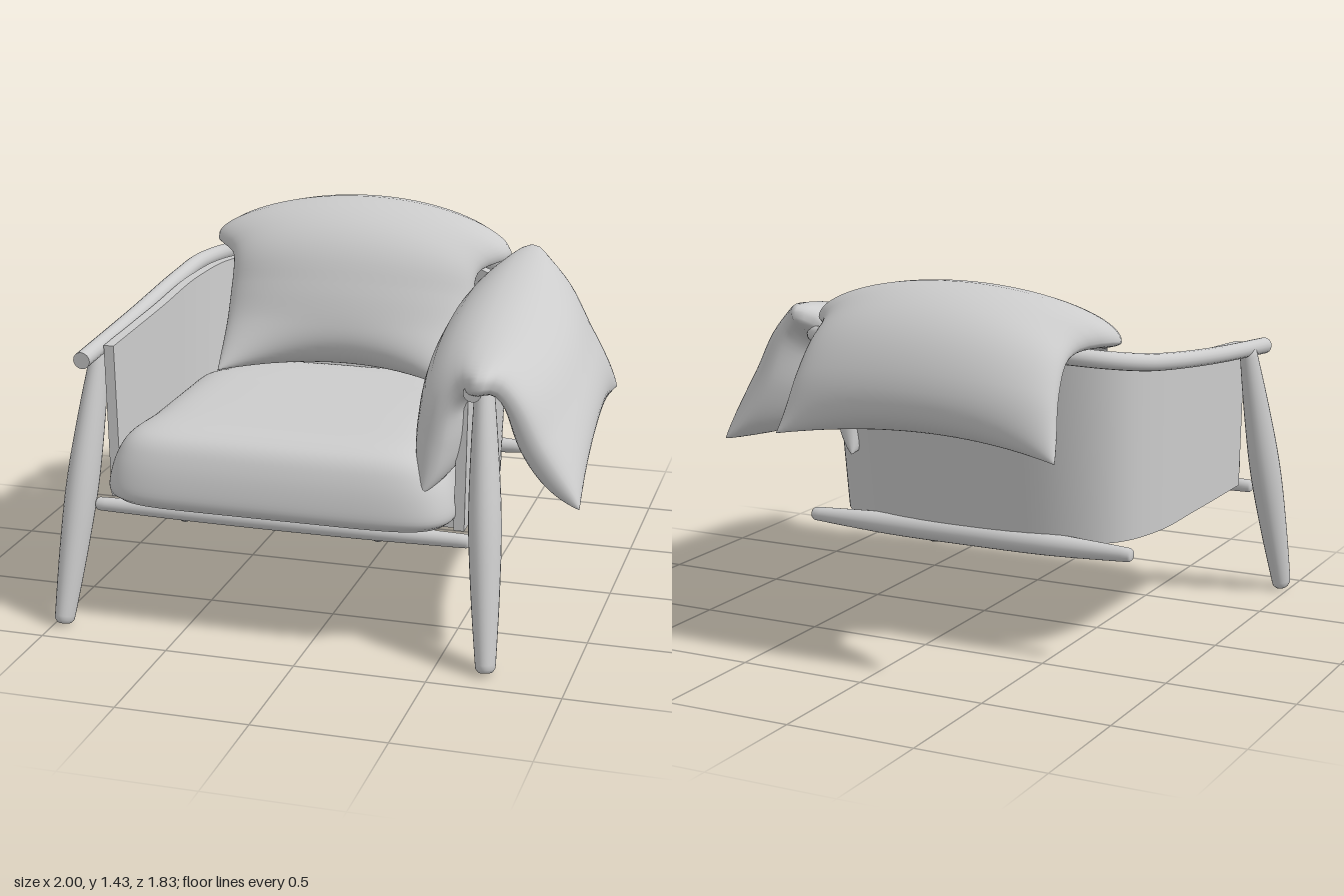
import * as THREE from 'three';
import { mergeVertices, toCreasedNormals } from 'three/addons/utils/BufferGeometryUtils.js';

const V = (x, y, z) => new THREE.Vector3(x, y, z);
const CX = -0.135; // middle of the chair frame

// Grid surface: du x dv points outward
function grid(fn, nu, nv) {
  const pos = [], idx = [];
  for (let i = 0; i <= nu; i++) {
    for (let j = 0; j <= nv; j++) pos.push(...fn(i / nu, j / nv).toArray());
  }
  for (let i = 0; i < nu; i++) {
    for (let j = 0; j < nv; j++) {
      const a = i * (nv + 1) + j, b = a + nv + 1;
      idx.push(a, b, b + 1, a, b + 1, a + 1);
    }
  }
  let g = new THREE.BufferGeometry();
  g.setAttribute('position', new THREE.Float32BufferAttribute(pos, 3));
  g.setIndex(idx);
  g = mergeVertices(g, 1e-5);
  g.computeVertexNormals();
  return g;
}

// Turned rod from a to b; profile is a list of [fraction, radius]
function rod(a, b, profile, squash = 1) {
  const len = a.distanceTo(b);
  const curve = new THREE.SplineCurve(profile.map(([t, r]) => new THREE.Vector2(r, t * len)));
  const r0 = profile[0][1], r1 = profile[profile.length - 1][1];
  const body = curve.getPoints(24).slice(1, -1);
  const pts = [new THREE.Vector2(0, 0), new THREE.Vector2(r0 * 0.75, 0), new THREE.Vector2(r0, r0 * 0.35),
    ...body.filter((p) => p.y > r0 * 0.4 && p.y < len - r1 * 0.4),
    new THREE.Vector2(r1, len - r1 * 0.35), new THREE.Vector2(r1 * 0.75, len), new THREE.Vector2(0, len)];
  const g = new THREE.LatheGeometry(pts, 24);
  g.scale(1, 1, squash);
  g.applyQuaternion(new THREE.Quaternion().setFromUnitVectors(V(0, 1, 0), b.clone().sub(a).normalize()));
  g.translate(a.x, a.y, a.z);
  return g;
}

const bump = (u, c, w) => Math.exp(-(((u - c) / w) ** 2));

// Soft pillow draped along a path; its width runs along axis
function pillow({ path, axis, thick, full, width, flare, adjust }) {
  const curve = new THREE.CatmullRomCurve3(path);
  return grid((s, f) => {
    const u = Math.sin((s - 0.5) * Math.PI), phi = f * 2 * Math.PI;
    const v = Math.cos(phi), k = (u + 1) / 2;
    const t = curve.getPointAt(k), tan = curve.getTangentAt(k);
    const n = axis.clone().cross(tan);
    const sn = Math.sin(phi);
    let h = thick * Math.sqrt(Math.max(0, 1 - u ** 8)) * Math.sign(sn) * Math.abs(sn) ** full;
    if (h < 0) h *= 1 - 0.5 * bump(u, 0, 0.4); // squeezed inside the fold
    t.addScaledVector(axis, v * width(u));
    t.addScaledVector(tan, flare * u ** 5 * v * v);
    t.addScaledVector(n, Math.abs(h) < 1e-6 ? 0 : h);
    return adjust(t, u, v);
  }, 56, 72);
}

export function createModel() {
  const group = new THREE.Group();
  const grey = new THREE.MeshStandardMaterial({ color: 0xcccccc });
  grey.name = 'light grey';
  const add = (name, geometry) => {
    const m = new THREE.Mesh(geometry, grey);
    m.name = name;
    group.add(m);
    return m;
  };

  // Front legs, thick in the middle and leaning back
  for (const s of [-1, 1]) {
    add(s < 0 ? 'rightFrontLeg' : 'leftFrontLeg', rod(
      V(CX + s * 0.828, 0.01, 0.875), V(CX + s * 0.745, 1.06, 0.605),
      [[0, 0.036], [0.25, 0.052], [0.5, 0.06], [0.75, 0.05], [1, 0.032]], 1.28));
  }

  // Bars under the seat
  const taper = (e, m) => [[0, e], [0.25, m * 0.95], [0.5, m], [0.75, m * 0.95], [1, e]];
  add('frontBar', rod(V(CX - 0.73, 0.457, 0.74), V(CX + 0.73, 0.457, 0.74), taper(0.026, 0.034)));
  add('backBar', rod(V(CX - 0.685, 0.44, -0.41), V(CX + 0.685, 0.44, -0.41), taper(0.026, 0.045)));
  for (const s of [-1, 1]) {
    add('sideBar', rod(V(CX + s * 0.38, 0.44, 0.74), V(CX + s * 0.38, 0.44, -0.41), taper(0.026, 0.04)));
  }

  // Mirrors half of a U-shaped path about the chair middle
  const uPath = (half) => new THREE.CatmullRomCurve3([
    ...half.map(([x, y, z]) => V(CX - x, y, z)),
    ...half.slice(0, -1).reverse().map(([x, y, z]) => V(CX + x, y, z))]);

  // Round rail forming arms and back
  const railPath = uPath([[0.745, 1.04, 0.8], [0.735, 1.08, 0.3], [0.718, 1.13, -0.17],
    [0.69, 1.155, -0.36], [0.6, 1.175, -0.48], [0.36, 1.195, -0.56], [0, 1.2, -0.59]]);
  add('armAndBackRail', new THREE.TubeGeometry(railPath, 120, 0.033, 16));
  for (const t of [0, 1]) {
    const cap = add('railEnd', new THREE.CircleGeometry(0.033, 16));
    cap.position.copy(railPath.getPoint(t));
    cap.lookAt(cap.position.clone().addScaledVector(railPath.getTangent(t), t ? 1 : -1));
  }

  // Upholstered shell wrapping sides and back
  const top = uPath([[0.705, 1.07, 0.68], [0.695, 1.1, 0.2], [0.67, 1.14, -0.15],
    [0.6, 1.165, -0.38], [0.42, 1.18, -0.52], [0, 1.19, -0.58]]);
  const bottom = uPath([[0.695, 0.47, 0.68], [0.685, 0.465, 0.2], [0.66, 0.455, -0.1],
    [0.58, 0.45, -0.3], [0.4, 0.445, -0.4], [0, 0.445, -0.43]]);
  const N = 64;
  add('shell', toCreasedNormals(grid((s, f) => {
    const i = Math.round(s * (N + 2)), t = THREE.MathUtils.clamp((i - 1) / N, 0, 1);
    const end = i === 0 || i === N + 2;
    const a = top.getPoint(t), b = bottom.getPoint(t);
    const n = V(0, 1, 0).cross(top.getTangent(t).setY(0).normalize());
    if (end) return a.lerp(b, 0.5).addScaledVector(n, -0.02);
    const j = Math.round(f * 4) % 4;
    return (j === 0 || j === 3 ? a : b).addScaledVector(n, j > 1 ? -0.04 : 0);
  }, N + 2, 4), 0.6));

  // Board closing the underside
  const outline = bottom.getPoints(48).map((p) => new THREE.Vector2(CX + (p.x - CX) * 0.98, -p.z * 0.98));
  const board = new THREE.ExtrudeGeometry(new THREE.Shape(outline), { depth: 0.03, bevelEnabled: false });
  board.rotateX(-Math.PI / 2);
  board.translate(0, 0.475, 0);
  add('seatBoard', board);

  // Seat cushion: rounded outlines as [height, inset]
  const levels = new THREE.SplineCurve([[0.49, 0.69], [0.49, 0.35], [0.49, 0.07], [0.505, 0.02], [0.535, 0],
    [0.6, 0.008], [0.67, 0.03], [0.73, 0.065], [0.765, 0.12], [0.785, 0.22], [0.79, 0.42], [0.792, 0.69],
  ].map(([y, d]) => new THREE.Vector2(d, y)));
  add('seatCushion', grid((s, f) => {
    const p = levels.getPoint(s), k = Math.max(0, 1 - p.x / 0.69);
    const phi = f * 2 * Math.PI, c = Math.cos(phi), sn = Math.sin(phi);
    const e = sn > 0 ? 0.28 : 0.28 + 0.34 * Math.min(1, -sn * 2);
    const pow = (w) => (Math.abs(w) < 1e-9 ? 0 : Math.sign(w) * Math.abs(w) ** e);
    const z = 0.225 + 0.63 * k * pow(sn);
    const x = 0.69 * k * pow(c) * (0.94 + 0.06 * THREE.MathUtils.smoothstep(z, 0.45, 0.75));
    return V(CX - 0.012 + x, p.y, z);
  }, 44, 96));

  // Pillow hung over the back
  add('backPillow', pillow({
    path: [[0.82, -0.16], [0.94, -0.23], [1.08, -0.29], [1.22, -0.37], [1.285, -0.53], [1.22, -0.68],
      [1.08, -0.765], [0.91, -0.79]].map(([y, z]) => V(-0.155, y, z)),
    axis: V(1, 0, 0), thick: 0.145, full: 1, flare: 0.04,
    width: (u) => 0.53 + 0.04 * u ** 3 - 0.02 * (1 - u * u) + 0.12 * bump(u, 0.05, 0.17),
    adjust: (p, u, v) => {
      p.y -= 0.04 * v * v * bump(u, 0.05, 0.35);
      p.z += v * v * (0.04 * bump(u, 0, 0.35) + 0.12 * Math.max(0, -u) ** 4 - 0.09 * Math.max(0, u) ** 4);
      return p;
    },
  }));

  // Pillow hung over the left arm
  add('armPillow', pillow({
    path: [[0.465, 0.67], [0.475, 0.82], [0.51, 0.94], [0.62, 0.99], [0.745, 0.94], [0.84, 0.82],
      [0.945, 0.67]].map(([x, y]) => V(x, y, 0.165)),
    axis: V(0, 0, 1), thick: 0.135, full: 0.8, flare: 0.035,
    width: (u) => 0.63 - 0.02 * (1 - u * u) + 0.08 * bump(u, -0.05, 0.11),
    adjust: (p, u, v) => {
      const back = 0.8 - p.z;
      p.x -= 0.065 * back;
      p.x += 0.04 * v * v * Math.sign(u) * Math.abs(u) ** 6;
      p.y += back * (0.06 + 0.065 * (1 - u * u)) + 0.09 * v * v * bump(u, 0, 0.35);
      return p;
    },
  }));

  return group;
}
